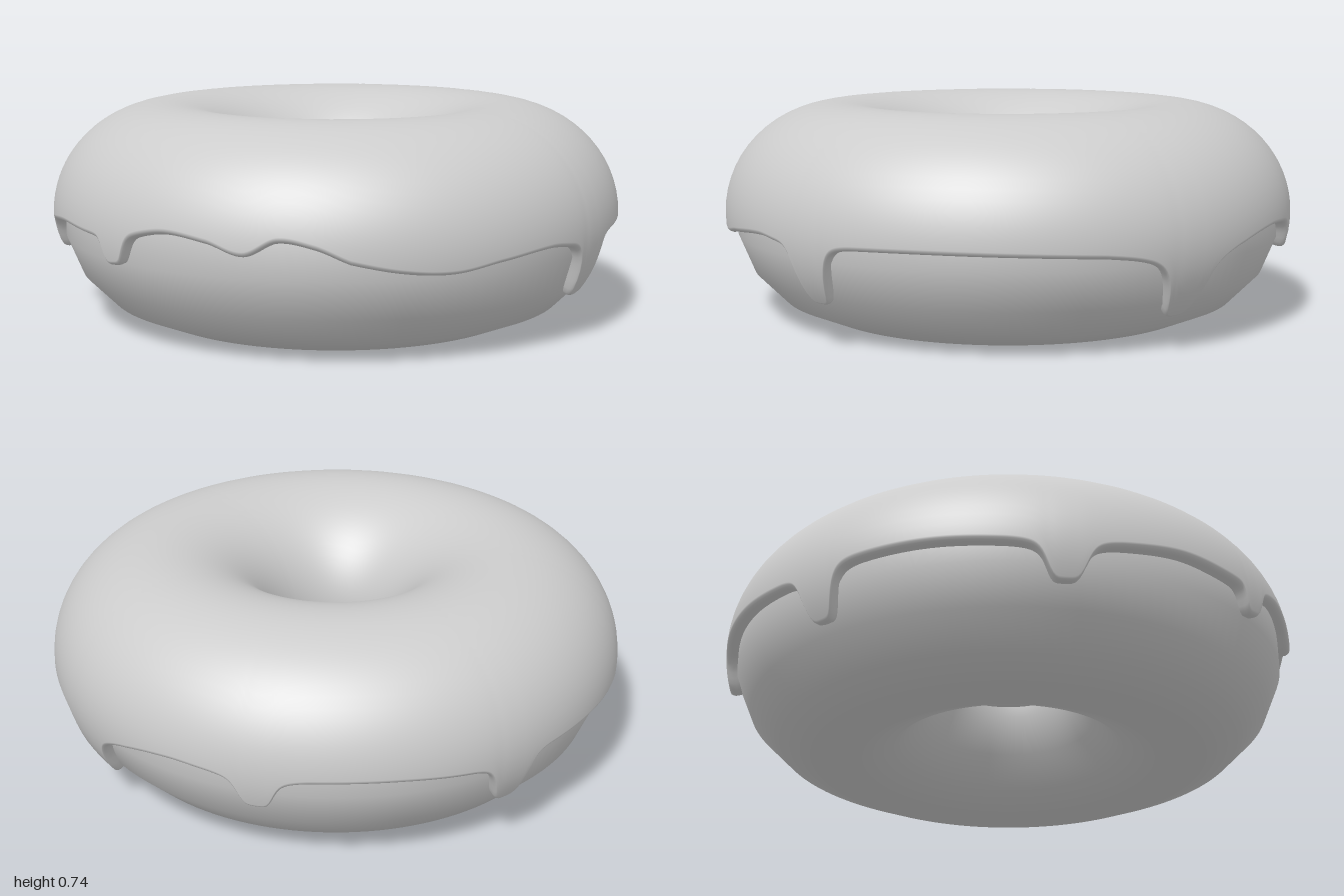
import * as THREE from 'three';

const RING = 0.6;      // radius of the ring's centre line
const MID = 0.358;     // height of the centre line
const ICING = 0.4;     // icing tube radius
const SQUASH = 0.945;  // vertical flattening of the icing

// Base hem of the icing: [azimuth in degrees from +x towards +z, height]
const HEM = [
  [0, 0.325], [15, 0.337], [32, 0.342], [47, 0.337], [57, 0.325], [66, 0.335], [72, 0.342],
  [84, 0.322], [93, 0.30], [102, 0.31], [112, 0.345], [118, 0.39], [125, 0.41], [131, 0.362],
  [138, 0.395], [147, 0.412], [156, 0.385], [166, 0.365], [180, 0.37], [192, 0.345], [203, 0.32],
  [214, 0.33], [228, 0.34], [242, 0.335], [251, 0.32], [260, 0.33], [275, 0.35], [290, 0.352],
  [300, 0.335], [310, 0.352], [318, 0.355], [328, 0.325], [342, 0.26], [352, 0.305],
];

// Drips: [azimuth, tip height, half width in degrees]
const DRIPS = [
  [57, 0.135, 3.6], [160, 0.28, 3], [203, 0.21, 3.8],
  [251, 0.17, 3.6], [300, 0.24, 3.4], [342, 0.10, 4.2],
];

function baseHem(deg) {
  const n = HEM.length;
  let k = n - 1;
  while (k > 0 && HEM[k][0] > deg) k--;
  const [a0, y0] = HEM[k];
  const [a1, y1] = HEM[(k + 1) % n];
  const t = (deg - a0) / ((a1 - a0 + 360) % 360);
  const before = HEM[(k + n - 1) % n][1];
  const after = HEM[(k + 2) % n][1];
  // Catmull-Rom blend
  return 0.5 * (2 * y0 + (y1 - before) * t + (2 * before - 5 * y0 + 4 * y1 - after) * t * t
    + (3 * y0 - before - 3 * y1 + after) * t * t * t);
}

function hemHeight(deg) {
  let y = baseHem(deg);
  for (const [az, tip, width] of DRIPS) {
    const away = Math.abs(((deg - az + 540) % 360) - 180);
    y -= (baseHem(az) - tip) / (1 + Math.pow(away / width, 5));
  }
  return y;
}

// Cross-section of the icing as [tube angle, tube radius], inner lip to outer hem
function icingSection(hem) {
  const start = Math.PI + 0.1;
  const end = Math.asin((hem - MID) / (ICING * SQUASH));
  const section = [[start, 0.335]];
  const lip = (edge, dir, s) => [
    edge + dir * 0.05 * (1 - Math.cos(s)),
    ICING - 0.025 * (1 - Math.sin(s)),
  ];
  for (let k = 0; k <= 4; k++) section.push(lip(start, -1, k * Math.PI / 8));
  const from = start - 0.05, to = end + 0.05;
  for (let k = 1; k < 32; k++) section.push([from + (to - from) * k / 32, ICING]);
  for (let k = 4; k >= 0; k--) section.push(lip(end, 1, k * Math.PI / 8));
  section.push([end, 0.335]);
  return section;
}

function icingGeometry() {
  const steps = 720, pos = [], index = [];
  let cols = 0;
  for (let i = 0; i < steps; i++) {
    const deg = i * 360 / steps, a = THREE.MathUtils.degToRad(deg);
    const section = icingSection(hemHeight(deg));
    cols = section.length;
    for (const [phi, r] of section) {
      const d = RING + r * Math.cos(phi);
      pos.push(d * Math.cos(a), MID + r * SQUASH * Math.sin(phi), d * Math.sin(a));
    }
  }
  for (let i = 0; i < steps; i++) {
    for (let j = 0; j < cols - 1; j++) {
      const p = i * cols + j, q = ((i + 1) % steps) * cols + j;
      index.push(p, q, p + 1, q, q + 1, p + 1);
    }
  }
  const g = new THREE.BufferGeometry();
  g.setAttribute('position', new THREE.Float32BufferAttribute(pos, 3));
  g.setIndex(index);
  g.computeVertexNormals();
  return g;
}

// Dough ring with a coarse round section, whose lowest facet lies flat
function doughGeometry() {
  const points = [];
  for (let k = 0; k <= 16; k++) {
    const phi = Math.PI / 2 + (k + 0.5) * Math.PI / 8;
    points.push(new THREE.Vector2(RING + 0.365 * Math.cos(phi), MID + 0.365 * Math.sin(phi)));
  }
  return new THREE.LatheGeometry(points, 128);
}

export function createModel() {
  const grey = new THREE.MeshStandardMaterial({ color: 0xcccccc });
  grey.name = 'plain grey';

  const group = new THREE.Group();
  group.name = 'doughnut';
  const add = (name, geometry) => {
    const mesh = new THREE.Mesh(geometry, grey);
    mesh.name = name;
    group.add(mesh);
  };
  add('dough', doughGeometry());
  add('icing', icingGeometry());
  return group;
}
